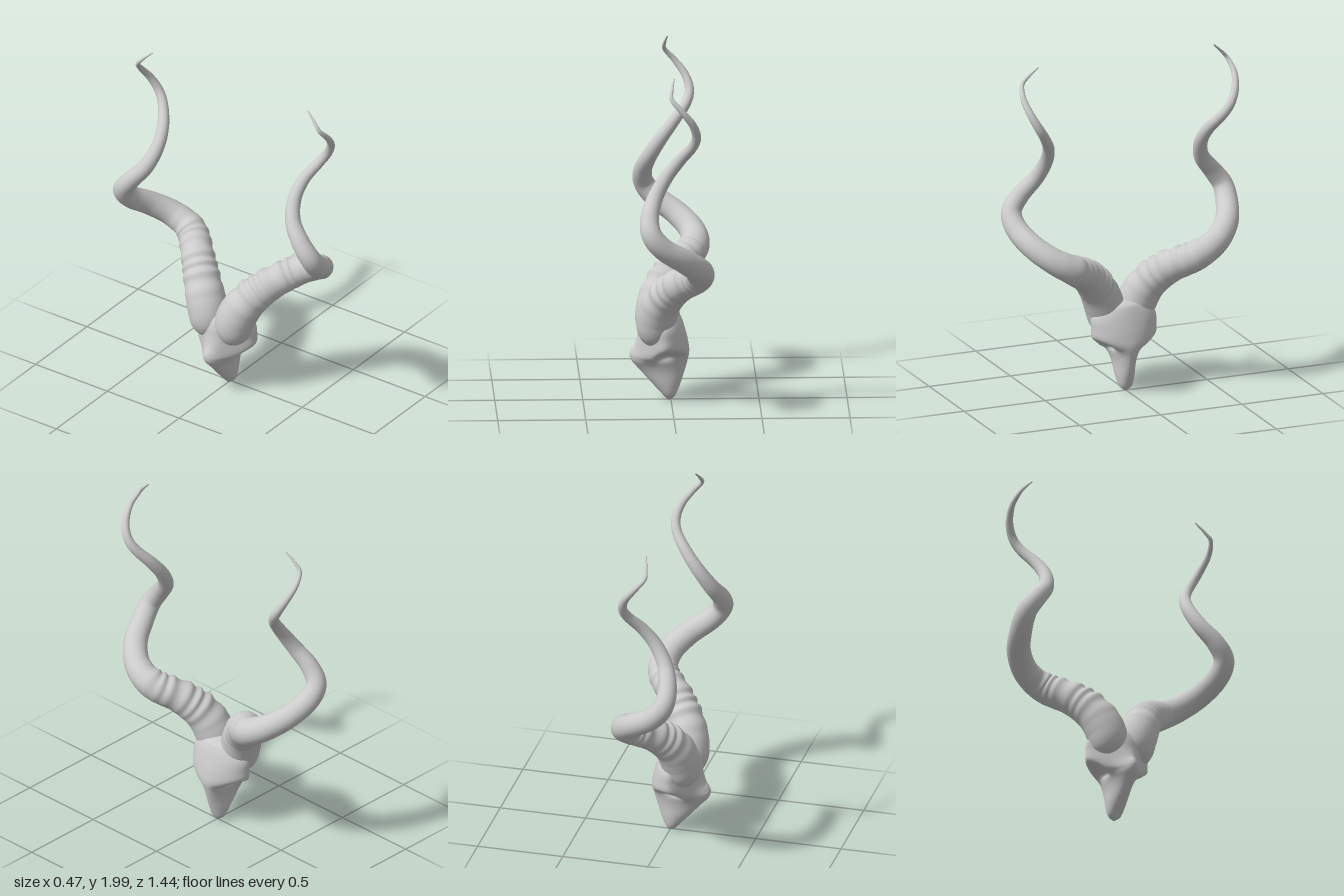
import * as THREE from 'three';
import { mergeVertices } from 'three/addons/utils/BufferGeometryUtils.js';

const material = new THREE.MeshStandardMaterial({ color: 0xcccccc });

// smooth track through one column of a table
const track = (rows, k) => {
  const s = new THREE.SplineCurve(rows.map((r, i) => new THREE.Vector2(i, r[k])));
  return t => s.getPoint(t).y;
};
const bump = (d, w) => Math.exp(-(d * d) / (w * w));

// weld the seams so the normals run smoothly all round
function smooth(geo) {
  geo.deleteAttribute('uv');
  geo.deleteAttribute('normal');
  const g = mergeVertices(geo, 1e-5);
  g.computeVertexNormals();
  return g;
}

// horn centre line: x, y, z, radius; the root is sunk into the skull
const HORN = [
  [-0.06, 0.31, 0.06, 0.03],
  [-0.085, 0.405, 0.082, 0.1],
  [-0.083, 0.5, 0.1, 0.115],
  [-0.047, 0.615, 0.157, 0.108],
  [0.035, 0.718, 0.25, 0.096],
  [0.142, 0.8, 0.372, 0.087],
  [0.138, 0.868, 0.495, 0.075],
  [0.055, 0.945, 0.595, 0.069],
  [-0.06, 1.025, 0.648, 0.064],
  [-0.13, 1.11, 0.652, 0.059],
  [-0.14, 1.2, 0.592, 0.053],
  [-0.105, 1.3, 0.512, 0.045],
  [-0.04, 1.41, 0.478, 0.039],
  [0.035, 1.51, 0.493, 0.034],
  [0.105, 1.6, 0.545, 0.029],
  [0.125, 1.67, 0.59, 0.026],
  [0.1, 1.75, 0.63, 0.022],
  [0.04, 1.83, 0.65, 0.017],
  [-0.015, 1.895, 0.634, 0.012],
  [-0.015, 1.94, 0.598, 0.009],
  [0.0, 1.995, 0.54, 0.004],
];

function horn(side) {
  const curve = new THREE.CatmullRomCurve3(
    HORN.map(([x, y, z]) => new THREE.Vector3(x, y, z * side)), false, 'catmullrom', 0.5);
  const radius = track(HORN, 3);
  const rings = 300, sides = 28;
  const geo = new THREE.TubeGeometry(curve, rings, 1, sides);
  const pos = geo.attributes.position, v = new THREE.Vector3();
  const inner = new THREE.Vector3(-0.6, 0.6, -0.5 * side).normalize();
  for (let i = 0; i <= rings; i++) {
    const u = i / rings, c = curve.getPointAt(u);
    const r = radius(curve.getUtoTmapping(u));
    // uneven growth rings, strongest on the inner side, fading out along the horn
    const fade = THREE.MathUtils.smoothstep(u, 0.1, 0.15) * (1 - THREE.MathUtils.smoothstep(u, 0.23, 0.36));
    const wave = Math.sin(u * 215 + 1.2 * Math.sin(u * 70)) * fade * 0.008;
    for (let j = 0; j <= sides; j++) {
      const k = i * (sides + 1) + j;
      v.fromBufferAttribute(pos, k).sub(c);
      v.multiplyScalar(r + wave * (0.45 + 0.45 * v.dot(inner))).add(c);
      pos.setXYZ(k, v.x, v.y, v.z);
    }
  }
  const mesh = new THREE.Mesh(smooth(geo), material);
  mesh.name = side > 0 ? 'leftHorn' : 'rightHorn';
  return mesh;
}

// skull sections: y, back x, front x, half width, narrowing at the back
const SKULL = [
  [0.003, -0.02, 0.005, 0.008, 0],
  [0.03, -0.045, 0.028, 0.038, 0],
  [0.09, -0.1, 0.052, 0.053, 0.05],
  [0.17, -0.17, 0.078, 0.06, 0.05],
  [0.23, -0.223, 0.094, 0.077, 0.1],
  [0.27, -0.236, 0.103, 0.108, 0.3],
  [0.3, -0.227, 0.104, 0.165, 0.5],
  [0.33, -0.207, 0.1, 0.197, 0.5],
  [0.38, -0.19, 0.09, 0.2, 0.4],
  [0.44, -0.18, 0.073, 0.198, 0.3],
  [0.49, -0.16, 0.055, 0.165, 0.3],
  [0.52, -0.12, 0.036, 0.1, 0.1],
  [0.535, -0.06, -0.01, 0.02, 0],
];

function skull() {
  const [yAt, back, front, width, narrow] = [0, 1, 2, 3, 4].map(k => track(SKULL, k));
  const rings = 96, sides = 72, pts = [], idx = [];
  for (let i = 0; i <= rings; i++) {
    const t = i / rings, y = yAt(t), b = back(t), f = front(t);
    for (let j = 0; j < sides; j++) {
      const a = (j / sides) * Math.PI * 2, c = Math.cos(a), s = Math.sin(a);
      const x = (b + f) / 2 + ((f - b) / 2) * c;
      let z = width(t) * s * (1 - narrow(t) * THREE.MathUtils.smoothstep(-c, -0.2, 1));
      // arched brow with the eye hollows under it
      const arch = Math.min(0.035, 3 * x * x) * Math.abs(s) * bump(y - 0.29, 0.06);
      z *= 1 - 0.3 * bump(x + 0.03, 0.055) * bump(y - 0.27, 0.028);
      pts.push(x, y - arch, z);
    }
  }
  for (let i = 0; i < rings; i++) {
    for (let j = 0; j < sides; j++) {
      const p = i * sides + j, q = i * sides + ((j + 1) % sides);
      idx.push(p, p + sides, q, q, p + sides, q + sides);
    }
  }
  // close the nose and the crown
  [0, rings].forEach(i => {
    const n = pts.length / 3, t = i / rings;
    pts.push((back(t) + front(t)) / 2, yAt(t), 0);
    for (let j = 0; j < sides; j++) {
      const p = i * sides + j, q = i * sides + ((j + 1) % sides);
      if (i) idx.push(n, q, p); else idx.push(n, p, q);
    }
  });
  const geo = new THREE.BufferGeometry();
  geo.setAttribute('position', new THREE.Float32BufferAttribute(pts, 3));
  geo.setIndex(idx);
  geo.computeVertexNormals();
  const mesh = new THREE.Mesh(geo, material);
  mesh.name = 'skull';
  return mesh;
}

export function createModel() {
  const group = new THREE.Group();
  group.name = 'hornedSkull';
  group.add(skull(), horn(1), horn(-1));
  return group;
}
